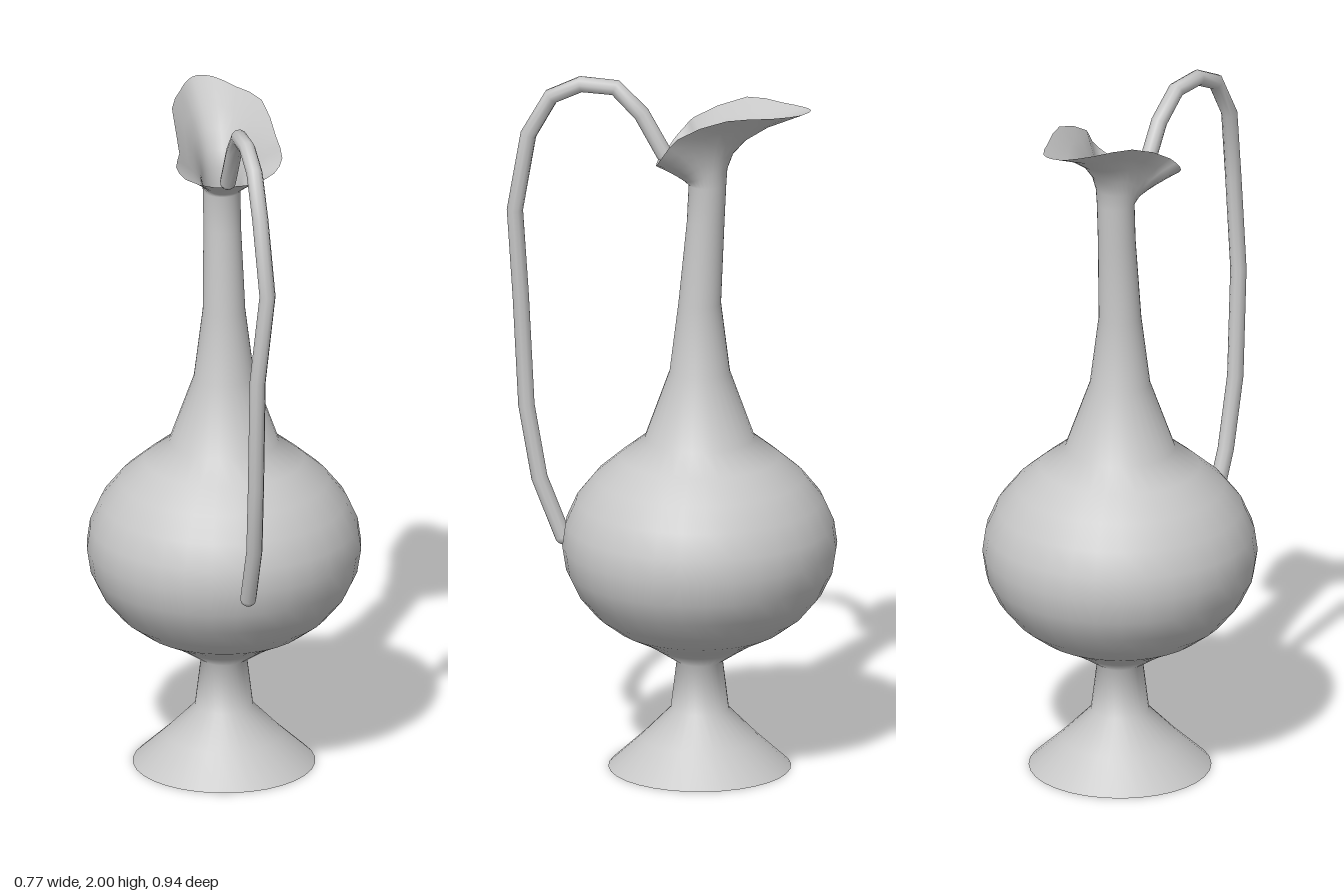
import * as THREE from 'three';

const SIDES = 32;
const V = (x, y, z) => new THREE.Vector3(x, y, z);

// Skin a stack of closed rings, sharing vertices so the surface shades smoothly
function loft(rings) {
  const n = rings[0].length, index = [];
  for (let r = 0; r < rings.length - 1; r++) {
    for (let i = 0; i < n; i++) {
      const a = r * n + i, b = r * n + (i + 1) % n;
      index.push(a, b, a + n, b, b + n, a + n);
    }
  }
  const geometry = new THREE.BufferGeometry().setFromPoints(rings.flat());
  geometry.setIndex(index);
  geometry.computeVertexNormals();
  return geometry;
}

function ring(radius, y) {
  // the upper neck leans slightly towards the spout
  const z = -0.083 - 0.022 * THREE.MathUtils.smoothstep(y, 1.36, 1.71);
  return Array.from({ length: SIDES }, (_, i) => {
    const a = i / SIDES * Math.PI * 2;
    return V(radius * Math.sin(a), y, z + radius * Math.cos(a));
  });
}

export function createModel() {
  const group = new THREE.Group();
  const metal = new THREE.MeshStandardMaterial({ color: 0xc8c8c8, side: THREE.DoubleSide });
  metal.name = 'pale grey';
  const add = (name, geometry) => {
    const mesh = new THREE.Mesh(geometry, metal);
    mesh.name = name;
    group.add(mesh);
    return mesh;
  };

  // Foot, belly and neck: radius, height
  const profile = [
    [0.257, 0], [0.165, 0.085], [0.082, 0.17], [0.065, 0.31], [0.125, 0.35], [0.165, 0.375],
    [0.235, 0.41], [0.295, 0.455], [0.345, 0.515], [0.376, 0.58], [0.387, 0.65],
    [0.378, 0.715], [0.347, 0.785], [0.295, 0.85], [0.225, 0.91], [0.155, 0.965],
    [0.085, 1.16], [0.06, 1.36], [0.053, 1.6], [0.053, 1.71],
  ];
  const rings = profile.map(([r, y]) => ring(r, y));

  // Rim of the lip, from the handle side round to the spout tip and back
  const rim = new THREE.CatmullRomCurve3([
    V(0, 1.775, 0.035), V(0.05, 1.775, 0.033), V(0.115, 1.795, 0.022), V(0.146, 1.83, 0),
    V(0.14, 1.88, -0.04), V(0.14, 1.94, -0.18), V(0.1, 1.94, -0.3), V(0.06, 1.943, -0.385),
    V(0.02, 1.945, -0.402), V(-0.015, 1.943, -0.38), V(-0.06, 1.94, -0.31), V(-0.117, 1.935, -0.2),
    V(-0.143, 1.86, -0.045), V(-0.16, 1.83, -0.02), V(-0.14, 1.8, 0.007), V(-0.06, 1.775, 0.027),
  ], true);

  // Lip: flares gently at the back, sweeps out late at the spout
  const neckTop = rings[rings.length - 1];
  for (const t of [0.2, 0.4, 0.6, 0.8, 1]) {
    rings.push(neckTop.map((p, i) => {
      const edge = rim.getPoint(i / SIDES);
      const spout = (1 - Math.cos(i / SIDES * Math.PI * 2)) / 2;
      const k = Math.pow(t, 1.1 + 1.6 * spout);
      return V(
        THREE.MathUtils.lerp(p.x, edge.x, k),
        THREE.MathUtils.lerp(p.y, edge.y, t),
        THREE.MathUtils.lerp(p.z, edge.z, k),
      );
    }));
  }
  add('vessel', loft(rings));

  // Flat underside of the foot
  const base = add('footBase', new THREE.CircleGeometry(0.257, SIDES));
  base.rotation.x = Math.PI / 2;
  base.position.set(0, 0, -0.083);

  // Handle: a tube with one straight segment between each pair of points
  const points = [
    V(-0.02, 1.785, 0.02), V(-0.022, 1.9, 0.085), V(-0.03, 1.972, 0.16), V(-0.037, 1.976, 0.26),
    V(-0.042, 1.935, 0.345), V(-0.045, 1.82, 0.41), V(-0.035, 1.6, 0.447), V(-0.06, 1.34, 0.434),
    V(-0.06, 1.02, 0.418), V(-0.053, 0.81, 0.38), V(-0.05, 0.64, 0.312),
  ];
  const path = new THREE.CatmullRomCurve3(points);
  path.getPointAt = (t, target) => path.getPoint(t, target);
  path.getTangentAt = (t, target) => path.getTangent(t, target);
  add('handle', new THREE.TubeGeometry(path, points.length - 1, 0.023, 10));

  // Rounded handle ends
  for (const p of [points[0], points[points.length - 1]]) {
    add('handleEnd', new THREE.SphereGeometry(0.023, 10, 8)).position.copy(p);
  }
  return group;
}
